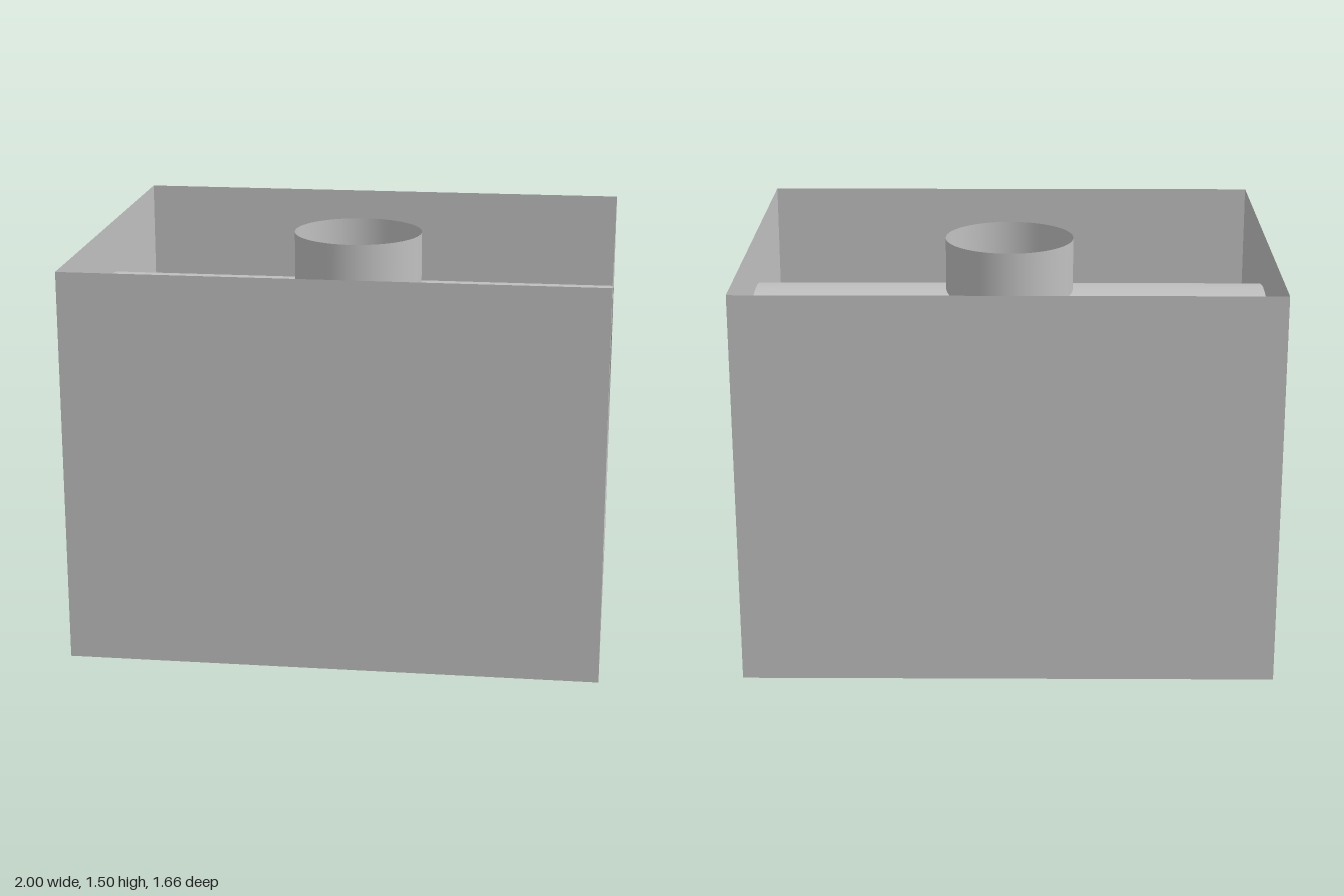
import * as THREE from 'three';

const W = 1, H = 1.5, D = 0.83;          // half width, height, half depth
const R = 0.543, CY = 0.752, r = 0.25;   // main bore, its height, vertical port
const N = 64;

const grey = new THREE.MeshStandardMaterial({ color: 0xc0c0c0, side: THREE.DoubleSide });
grey.name = 'grey';

// Strip of quads between two rails; each entry is [pointA, pointB, normal]
function strip(rows) {
  const pos = [], nor = [], idx = [];
  rows.forEach(([a, b, n], i) => {
    pos.push(...a, ...b);
    nor.push(...n, ...n);
    if (i) {
      const k = 2 * i;
      idx.push(k - 2, k, k - 1, k - 1, k, k + 1);
    }
  });
  const g = new THREE.BufferGeometry();
  g.setAttribute('position', new THREE.Float32BufferAttribute(pos, 3));
  g.setAttribute('normal', new THREE.Float32BufferAttribute(nor, 3));
  g.setIndex(idx);
  return g;
}

// Flat rectangle with an optional round hole at its centre
function panel(w, h, hole, holeY = 0) {
  const s = new THREE.Shape([[-w, -h], [w, -h], [w, h], [-w, h]].map(p => new THREE.Vector2(...p)));
  if (hole) s.holes.push(new THREE.Path().absarc(0, holeY, hole, 0, Math.PI * 2, true));
  return new THREE.ShapeGeometry(s, 128);
}

// Angles round the main bore (0 = up), denser where the ports cut through it
function boreAngles() {
  const half = [], edge = Math.asin(r / R);
  for (let i = 0; i <= N / 2; i++) half.push(Math.asin(r * Math.sin(-Math.PI / 2 + Math.PI * i / (N / 2)) / R));
  for (let i = 1; i < N / 2; i++) half.push(edge + (Math.PI - 2 * edge) * i / (N / 2));
  return [...half, ...half.map(a => a + Math.PI), half[0] + 2 * Math.PI];
}

export function createModel() {
  const group = new THREE.Group();
  const add = (name, geometry) => {
    const m = new THREE.Mesh(geometry, grey);
    m.name = name;
    group.add(m);
    return m;
  };

  // Open-topped box
  add('frontWall', panel(W, H / 2)).position.set(0, H / 2, D);
  const back = add('backWall', panel(W, H / 2));
  back.position.set(0, H / 2, -D);
  back.rotation.y = Math.PI;
  for (const s of [1, -1]) {
    const end = add(s > 0 ? 'leftEndWall' : 'rightEndWall', panel(D, H / 2, R, CY - H / 2));
    end.position.set(s * W, H / 2, 0);
    end.rotation.y = s * Math.PI / 2;
  }
  add('floor', panel(W, D, r)).rotation.x = Math.PI / 2;

  // Horizontal tube, in two halves that stop at the port openings
  const angles = boreAngles();
  for (const s of [1, -1]) {
    const rows = angles.map(t => {
      const y = Math.cos(t), z = Math.sin(t);
      const gap = Math.sqrt(Math.max(0, r * r - R * R * z * z));
      const at = x => [x, CY + R * y, R * z];
      const [a, b] = s > 0 ? [gap, W] : [-W, -gap];
      return [at(a), at(b), [0, y, z]];
    });
    add(s > 0 ? 'mainTubeLeft' : 'mainTubeRight', strip(rows));
  }

  // Vertical ports running from the tube to the rim and to the floor
  for (const s of [1, -1]) {
    const rows = [];
    for (let i = 0; i <= N; i++) {
      const p = Math.PI * 2 * i / N, c = Math.cos(p), n = Math.sin(p);
      const saddle = CY + s * Math.sqrt(R * R - r * r * n * n);
      const [lo, hi] = s > 0 ? [saddle, H] : [0, saddle];
      rows.push([[r * c, hi, r * n], [r * c, lo, r * n], [c, 0, n]]);
    }
    add(s > 0 ? 'upperPort' : 'lowerPort', strip(rows));
  }
  return group;
}
